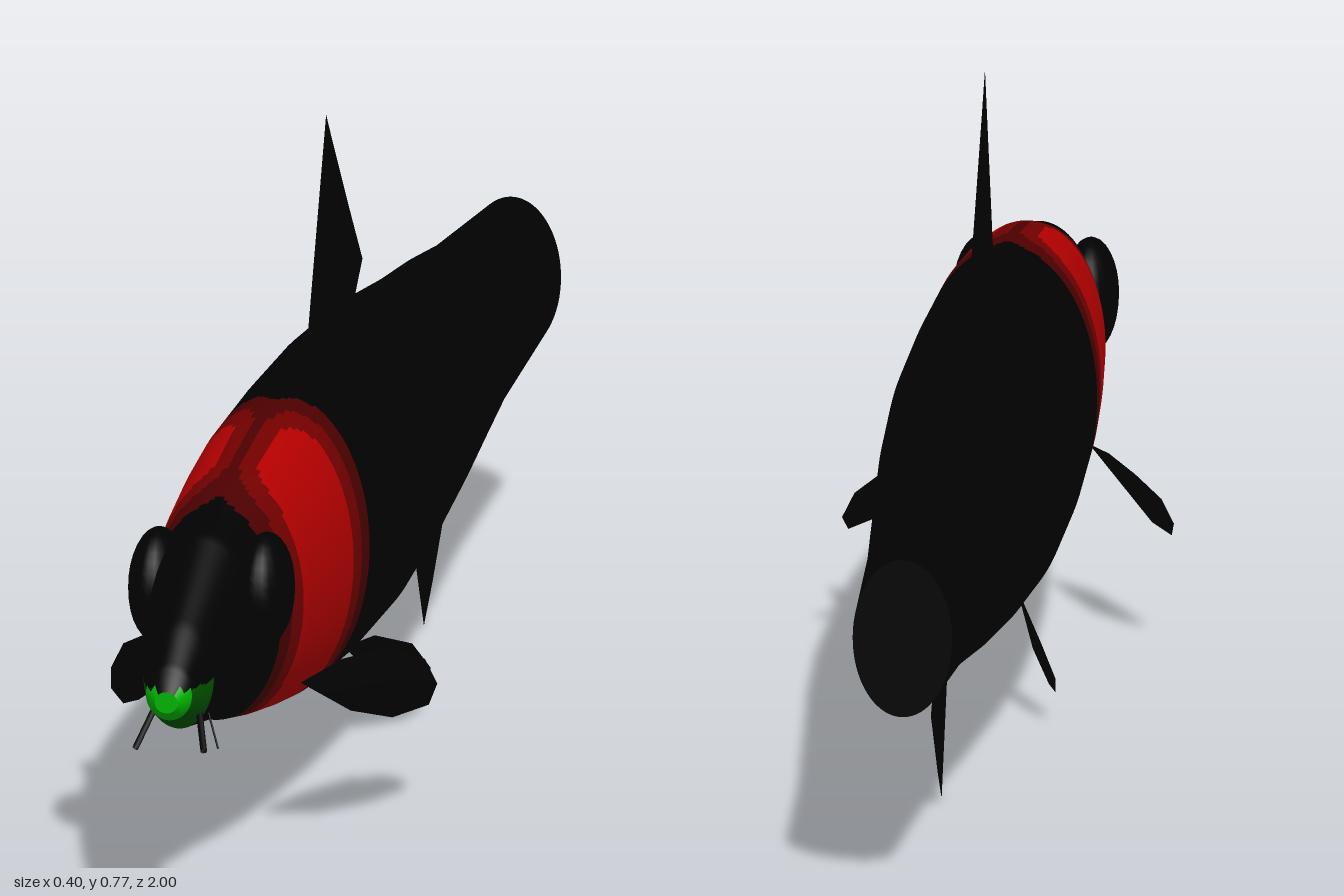
import * as THREE from 'three';

const mat = (name, color) => {
  const m = new THREE.MeshStandardMaterial({ color });
  m.name = name;
  return m;
};

// Body stations: z, top y, bottom y, half width
const STATIONS = [
  [1, 0.288, 0.262, 0.014], [0.985, 0.312, 0.25, 0.028], [0.93, 0.355, 0.226, 0.043],
  [0.79, 0.432, 0.203, 0.068], [0.72, 0.446, 0.185, 0.082], [0.62, 0.47, 0.165, 0.095],
  [0.5, 0.487, 0.145, 0.104], [0.4, 0.497, 0.131, 0.109], [0.2, 0.5, 0.12, 0.114],
  [0, 0.498, 0.12, 0.114], [-0.2, 0.487, 0.134, 0.105], [-0.4, 0.463, 0.155, 0.092],
  [-0.55, 0.449, 0.175, 0.082], [-0.7, 0.43, 0.195, 0.072], [-1, 0.408, 0.215, 0.06],
];

function section(z) {
  let k = 0;
  while (k < STATIONS.length - 2 && STATIONS[k + 1][0] > z) k++;
  const a = STATIONS[k], b = STATIONS[k + 1];
  const t = (a[0] - z) / (a[0] - b[0]);
  const [top, bottom, w] = [1, 2, 3].map((i) => a[i] + (b[i] - a[i]) * t);
  return { cy: (top + bottom) / 2, h: (top - bottom) / 2, w };
}

// Colour index of a body face: black, three reds of the saddle, two greens of the mouth
function colourAt(z, angle, y) {
  if (z > 0.93 && y < 0.289) return z > 0.98 ? 5 : 4;
  const u = Math.abs(z - 0.53);
  const a = Math.asin(Math.min(1, Math.abs(Math.sin(angle)))) / (Math.PI / 2);
  const inside = (hu, ha) => (u / hu) ** 4 + (a / ha) ** 5 < 1;
  if (inside(0.108, 0.84)) return 3;
  if (inside(0.148, 0.96)) return 2;
  return inside(0.19, 1.11) ? 1 : 0;
}

function bodyGeometry() {
  const rows = 250, sides = 96;
  const pos = [], buckets = [[], [], [], [], [], []];
  for (let i = 0; i <= rows; i++) {
    const z = 1 - (2 * i) / rows, s = section(z);
    for (let j = 0; j < sides; j++) {
      const t = (j / sides) * Math.PI * 2;
      pos.push(Math.cos(t) * s.w, s.cy + Math.sin(t) * s.h, z);
    }
  }
  for (let i = 0; i < rows; i++) {
    const z = 1 - (2 * (i + 0.5)) / rows, s = section(z);
    for (let j = 0; j < sides; j++) {
      const t = ((j + 0.5) / sides) * Math.PI * 2, n = (j + 1) % sides;
      const a = i * sides + j, b = i * sides + n, c = a + sides, d = b + sides;
      buckets[colourAt(z, t, s.cy + Math.sin(t) * s.h)].push(a, c, b, b, c, d);
    }
  }
  const g = new THREE.BufferGeometry();
  g.setAttribute('position', new THREE.Float32BufferAttribute(pos, 3));
  g.setIndex(buckets.flat());
  let start = 0;
  buckets.forEach((list, m) => {
    g.addGroup(start, list.length, m);
    start += list.length;
  });
  g.computeVertexNormals();
  return g;
}

// Thin fin: a fan over its outline
function finGeometry(points) {
  const index = [];
  for (let i = 1; i < points.length - 1; i++) index.push(0, i, i + 1);
  const g = new THREE.BufferGeometry();
  g.setAttribute('position', new THREE.Float32BufferAttribute(points.flat(), 3));
  g.setIndex(index);
  g.computeVertexNormals();
  return g;
}

export function createModel() {
  const black = mat('black', 0x010101);
  black.side = THREE.DoubleSide;
  const darkRed = mat('darkRed', 0x4c0000);
  const midRed = mat('midRed', 0x720000);
  const brightRed = mat('brightRed', 0xb40000);
  const darkGreen = mat('darkGreen', 0x005400);
  const brightGreen = mat('brightGreen', 0x00b400);

  const model = new THREE.Group();
  model.name = 'fish';
  const add = (name, geometry, material = black) => {
    const mesh = new THREE.Mesh(geometry, material);
    mesh.name = name;
    model.add(mesh);
    return mesh;
  };

  add('body', bodyGeometry(), [black, darkRed, midRed, brightRed, darkGreen, brightGreen]);

  // End caps of the body
  const cap = (name, z, material) => {
    const s = section(z);
    const mesh = add(name, new THREE.CircleGeometry(1, 96), material);
    mesh.scale.set(s.w, s.h, 1);
    mesh.position.set(0, s.cy, z);
    if (z < 0) mesh.rotation.y = Math.PI;
  };
  cap('mouthTip', 1, brightGreen);
  cap('tailStump', -1, black);

  // Fins on the centre line, outlined as z, y
  const flat = (list) => list.map(([z, y]) => [0, y, z]);
  add('dorsalFin', finGeometry(flat([
    [0.2, 0.485], [0.075, 0.775], [0.04, 0.735], [-0.06, 0.625], [-0.135, 0.545], [-0.06, 0.485],
  ])));
  add('analFin', finGeometry(flat([
    [-0.4, 0.17], [-0.49, 0.003], [-0.54, 0.045], [-0.63, 0.135], [-0.57, 0.19],
  ])));

  // Paired parts
  const pectoral = [
    [0.078, 0.203, 0.59], [0.11, 0.212, 0.5], [0.15, 0.207, 0.41], [0.185, 0.185, 0.375],
    [0.2, 0.155, 0.375], [0.195, 0.135, 0.4], [0.165, 0.135, 0.47], [0.13, 0.16, 0.545],
  ];
  const pelvic = [
    [0.033, 0.13, 0.125], [0.05, 0.122, 0.03], [0.08, 0.095, -0.045], [0.098, 0.06, -0.068],
    [0.097, 0.04, -0.055], [0.085, 0.04, -0.01], [0.06, 0.07, 0.05],
  ];
  // Barbels: start, end, radius
  const barbels = {
    FrontBarbel: [[0.028, 0.25, 0.94], [0.042, 0.212, 0.98], 0.004],
    RearBarbel: [[0.035, 0.245, 0.92], [0.05, 0.205, 0.935], 0.0012],
  };
  for (const [side, s] of [['left', 1], ['right', -1]]) {
    const mirror = (list) => list.map(([x, y, z]) => [x * s, y, z]);
    add(side + 'PectoralFin', finGeometry(mirror(pectoral)));
    add(side + 'PelvicFin', finGeometry(mirror(pelvic)));
    const eye = add(side + 'Eye', new THREE.SphereGeometry(1, 24, 16));
    eye.scale.set(0.034, 0.07, 0.065);
    eye.position.set(0.066 * s, 0.354, 0.737);
    for (const [name, [start, end, radius]] of Object.entries(barbels)) {
      const [a, b] = mirror([start, end]).map((p) => new THREE.Vector3(...p));
      add(side + name, new THREE.TubeGeometry(new THREE.LineCurve3(a, b), 1, radius, 6));
    }
  }
  return model;
}
